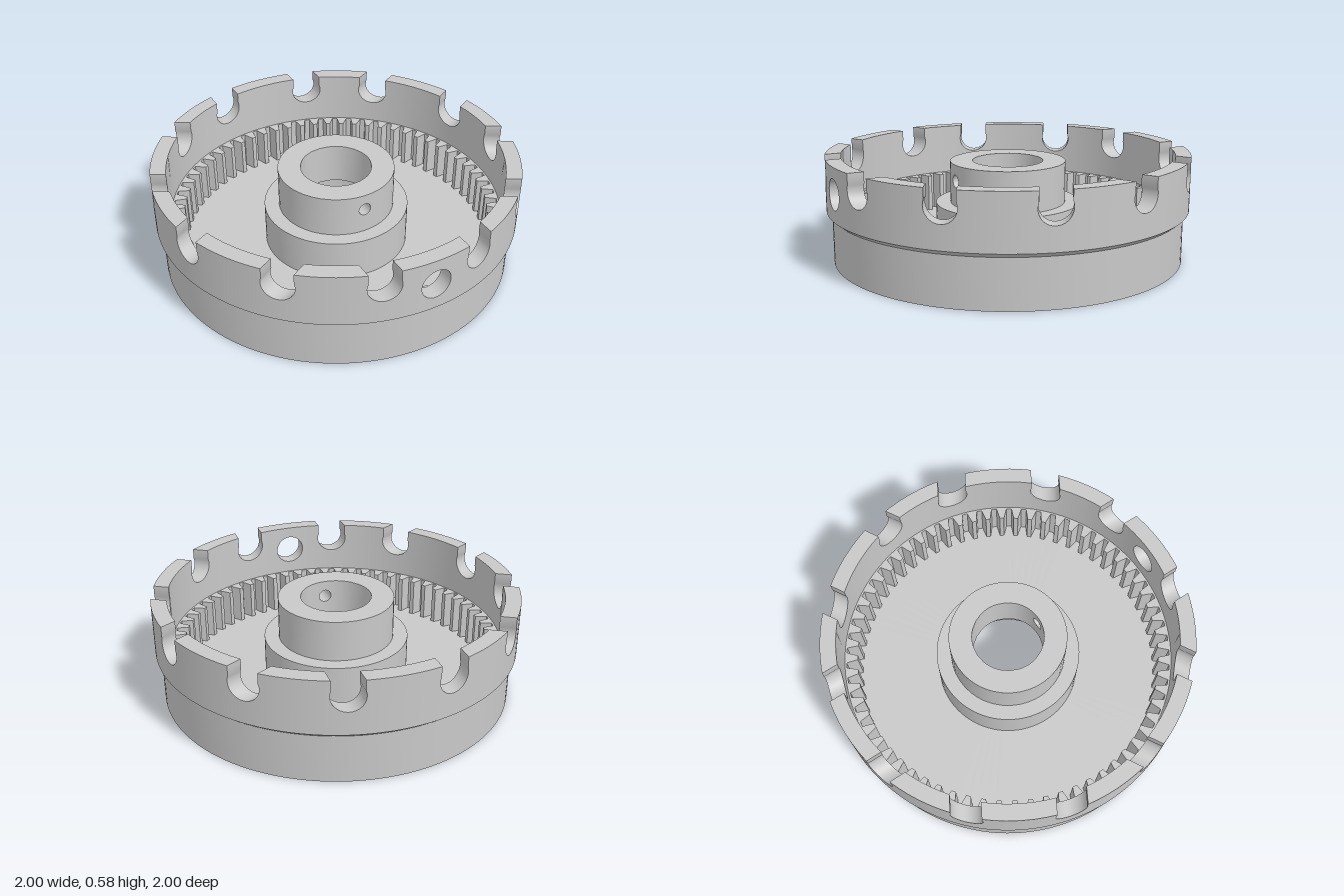
import * as THREE from 'three';
import { toCreasedNormals } from 'three/addons/utils/BufferGeometryUtils.js';

const metal = new THREE.MeshStandardMaterial({ color: 0xc8c8c8 });
metal.name = 'light grey metal';

function add(parent, name, geometry) {
  const mesh = new THREE.Mesh(toCreasedNormals(geometry, 0.5), metal);
  mesh.name = name;
  parent.add(mesh);
  return mesh;
}

function lathe(points, segments = 128) {
  return new THREE.LatheGeometry(points.map(([r, y]) => new THREE.Vector2(r, y)), segments);
}

function extrudeUp(shape, y0, y1, curveSegments = 64) {
  const g = new THREE.ExtrudeGeometry(shape, { depth: y1 - y0, bevelEnabled: false, curveSegments });
  return g.rotateX(-Math.PI / 2).translate(0, y0, 0);
}

// A 60 degree piece of ring wall, facing +z, whose cutouts run parallel to z.
// Inside |x| < keep the cuts stay parallel; beyond it the ends turn radial.
function wallSector({ ri, ro, y0, y1, keep, slots = [], hole = null }) {
  const pos = [];
  const end = ro / 2;
  const P = (x, y, outer) => {
    if (outer) return [x, y, Math.sqrt(ro * ro - x * x)];
    const a = Math.abs(x);
    const xi = a <= keep ? x : Math.sign(x) * (keep + (a - keep) * (ri / 2 - keep) / (end - keep));
    return [xi, y, Math.sqrt(ri * ri - xi * xi)];
  };
  const quad = (a, b, c, d) => pos.push(...a, ...b, ...c, ...a, ...c, ...d);

  // Strip of wall between two height rules
  const band = (xa, xb, n, lo, hi) => {
    for (let i = 0; i < n; i++) {
      const at = (k) => xa + (xb - xa) * (1 - Math.cos(Math.PI * k / n)) / 2;
      const [x, X] = [at(i), at(i + 1)];
      const [l, L, h, H] = [lo(x), lo(X), hi(x), hi(X)];
      quad(P(x, l, 1), P(X, L, 1), P(X, H, 1), P(x, h, 1));
      quad(P(X, L, 0), P(x, l, 0), P(x, h, 0), P(X, H, 0));
      quad(P(x, h, 1), P(X, H, 1), P(X, H, 0), P(x, h, 0));
      quad(P(x, l, 0), P(X, L, 0), P(X, L, 1), P(x, l, 1));
    }
  };
  const bottom = () => y0, top = () => y1;
  const arc = (c, cy, r, sign) => (x) => cy + sign * Math.sqrt(Math.max(0, r * r - (x - c) ** 2));

  const cuts = slots.map((s) => ({ ...s, open: true }));
  if (hole) cuts.push(hole);
  cuts.sort((a, b) => a.x - b.x);
  let x = -end;
  for (const c of cuts) {
    const [xa, xb] = [c.x - c.r, c.x + c.r];
    band(x, xa, 8, bottom, top);
    band(xa, xb, 18, bottom, arc(c.x, c.y, c.r, -1));
    const above = arc(c.x, c.y, c.r, 1);
    if (c.open) {
      // Slot neck, slightly narrower than the round bottom
      const [na, nb] = [c.x - c.neck, c.x + c.neck];
      band(xa, na, 4, above, top);
      band(nb, xb, 4, above, top);
      const ya = above(na);
      quad(P(na, ya, 1), P(na, ya, 0), P(na, y1, 0), P(na, y1, 1));
      quad(P(nb, ya, 0), P(nb, ya, 1), P(nb, y1, 1), P(nb, y1, 0));
    } else {
      band(xa, xb, 18, above, top);
    }
    x = xb;
  }
  band(x, end, 10, bottom, top);

  const g = new THREE.BufferGeometry();
  g.setAttribute('position', new THREE.Float32BufferAttribute(pos, 3));
  return g;
}

// Six sectors make a full ring; only the front one has the round hole
function ringWall(parent, name, options, hole) {
  const ring = new THREE.Group();
  ring.name = name;
  for (let k = 0; k < 6; k++) {
    const g = wallSector({ ...options, hole: k === 0 ? hole : null });
    add(ring, name + 'Sector', g).rotation.y = k * Math.PI / 3;
  }
  parent.add(ring);
}

// Internal gear: disc with a toothed opening
function gearShape(teeth, root, tip) {
  const shape = new THREE.Shape().absarc(0, 0, 0.95, 0, Math.PI * 2);
  const pitch = Math.PI * 2 / teeth;
  const points = [];
  for (let i = 0; i < teeth; i++) {
    for (const [r, f] of [[root, -0.17], [root, 0.17], [tip, 0.35], [tip, 0.65]]) {
      const a = (i + f) * pitch;
      points.push(new THREE.Vector2(r * Math.cos(a), r * Math.sin(a)));
    }
  }
  shape.holes.push(new THREE.Path(points));
  return shape;
}

export function createModel() {
  const model = new THREE.Group();
  model.name = 'ringGearHub';
  const floorY = 0.07, ledgeY = 0.29, flangeY = 0.3;

  // Lower drum with base, shallow bottom recess and flared shoulder
  add(model, 'drum', lathe([
    [0.3, 0.025], [0.31, 0.025], [0.31, 0], [0.97, 0], [0.97, 0.265], [1, ledgeY],
  ]));

  // Castellated rim with twelve keyhole slots and a round access hole
  const slot = { y: 0.5, r: 0.083, neck: 0.078 };
  ringWall(model, 'rim', {
    ri: 0.915, ro: 1, y0: ledgeY, y1: 0.585, keep: 0.36,
    slots: [{ ...slot, x: -0.266 }, { ...slot, x: 0.266 }],
  }, { x: 0, y: 0.44, r: 0.083 });

  // Internal teeth
  add(model, 'internalGear', extrudeUp(gearShape(64, 0.905, 0.843), floorY, ledgeY));

  // Floor, hub flange and the pocket underneath with its conical roof
  add(model, 'floorAndFlange', lathe([
    [0.93, floorY], [0.4, floorY], [0.4, flangeY], [0.31, flangeY],
  ], 96));
  add(model, 'pocketWall', lathe([[0.195, flangeY], [0.3, 0.235], [0.3, 0.025]], 96));

  // Hub tube with a set screw hole at the front
  ringWall(model, 'hub', { ri: 0.195, ro: 0.32, y0: flangeY, y1: 0.53, keep: 0.05 },
    { x: 0, y: 0.44, r: 0.035 });

  // Flat on one side of the pocket
  const a = Math.acos(0.23 / 0.3);
  const segment = new THREE.Shape().absarc(0, 0, 0.3, Math.PI - a, Math.PI + a);
  add(model, 'pocketFlat', extrudeUp(segment, 0.025, 0.275, 24));

  return model;
}
